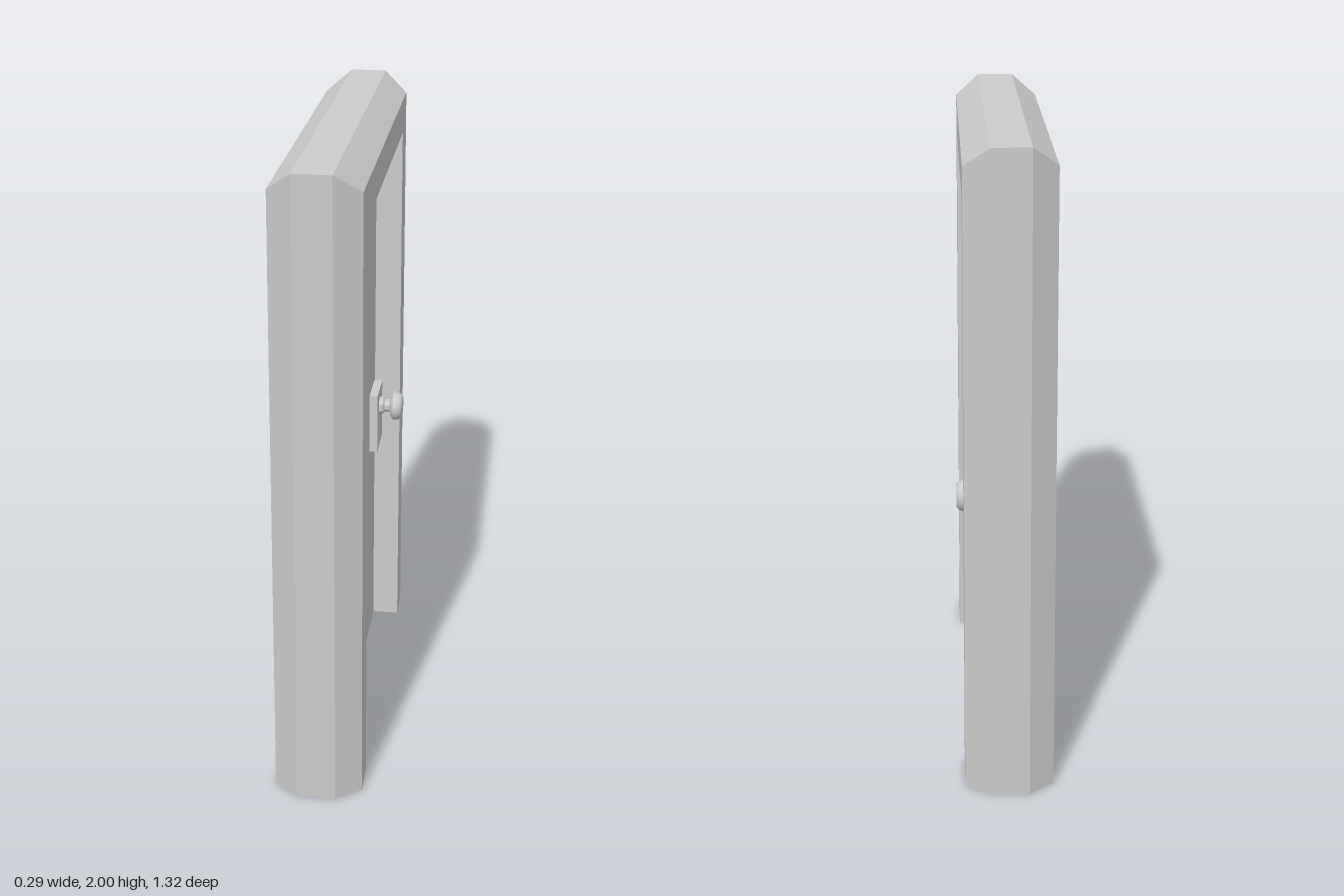
import * as THREE from 'three';
import { toCreasedNormals } from 'three/addons/utils/BufferGeometryUtils.js';

const MID = -0.01; // centre plane of the door in x

// Frame section: half thickness, half width, and height at the mitre
const SECTION = [
  { foot: [0.137, 0.49], head: [0.133, 0.49, 1.83] },
  { foot: [0.137, 0.605], head: [0.133, 0.595, 1.94] },
  { foot: [0.06, 0.66], head: [0.057, 0.65, 2] },
];

// Sweep the section up one jamb, across the head and down the other jamb
function frameGeometry() {
  const half = [...SECTION.map((p) => ({ ...p, s: 1 })), ...SECTION.map((p) => ({ ...p, s: -1 })).reverse()];
  const foot = (z) => half.map(({ foot: f, s }) => [MID + s * f[0], 0, z * f[1]]);
  const head = (z) => half.map(({ head: h, s }) => [MID + s * h[0], h[2], z * h[1]]);
  const rings = [foot(1), head(1), head(-1), foot(-1)];
  const n = half.length;
  const pos = [];
  const tri = (a, b, c) => pos.push(...a, ...b, ...c);
  for (let r = 0; r < rings.length - 1; r++) {
    for (let i = 0; i < n; i++) {
      const j = (i + 1) % n;
      const [a, b, c, d] = [rings[r][i], rings[r][j], rings[r + 1][j], rings[r + 1][i]];
      tri(a, b, c);
      tri(a, c, d);
    }
  }
  // Feet of the two jambs
  for (let i = 1; i < n - 1; i++) {
    tri(rings[0][0], rings[0][i + 1], rings[0][i]);
    tri(rings[3][0], rings[3][i], rings[3][i + 1]);
  }
  const g = new THREE.BufferGeometry();
  g.setAttribute('position', new THREE.Float32BufferAttribute(pos, 3));
  g.computeVertexNormals();
  return g;
}

export function createModel() {
  const group = new THREE.Group();
  const flat = new THREE.MeshStandardMaterial({ color: 0xcccccc, flatShading: true, side: THREE.DoubleSide });
  const smooth = new THREE.MeshStandardMaterial({ color: 0xcccccc });

  const add = (name, geometry, material, x, y, z) => {
    const mesh = new THREE.Mesh(geometry, material);
    mesh.name = name;
    mesh.position.set(x, y, z);
    group.add(mesh);
    return mesh;
  };

  add('doorFrame', frameGeometry(), flat, 0, 0, 0);

  // Door leaf, recessed equally on both faces
  add('doorLeaf', new THREE.BoxGeometry(0.094, 1.83, 0.98), flat, MID, 0.915, 0);

  // Lock plate and turned knob on the +x face
  add('lockPlate', new THREE.BoxGeometry(0.03, 0.21, 0.145), flat, 0.05, 0.845, -0.3975);
  const profile = [
    [0, 0], [0.03, 0], [0.03, 0.014], [0.022, 0.02], [0.022, 0.036], [0.038, 0.042],
    [0.048, 0.05], [0.048, 0.064], [0.043, 0.075], [0.036, 0.08], [0, 0.081],
  ].map(([r, h]) => new THREE.Vector2(r, h));
  const knob = add('doorKnob', toCreasedNormals(new THREE.LatheGeometry(profile, 24), 0.8), smooth, 0.064, 0.888, -0.395);
  knob.rotation.z = -Math.PI / 2;

  return group;
}
